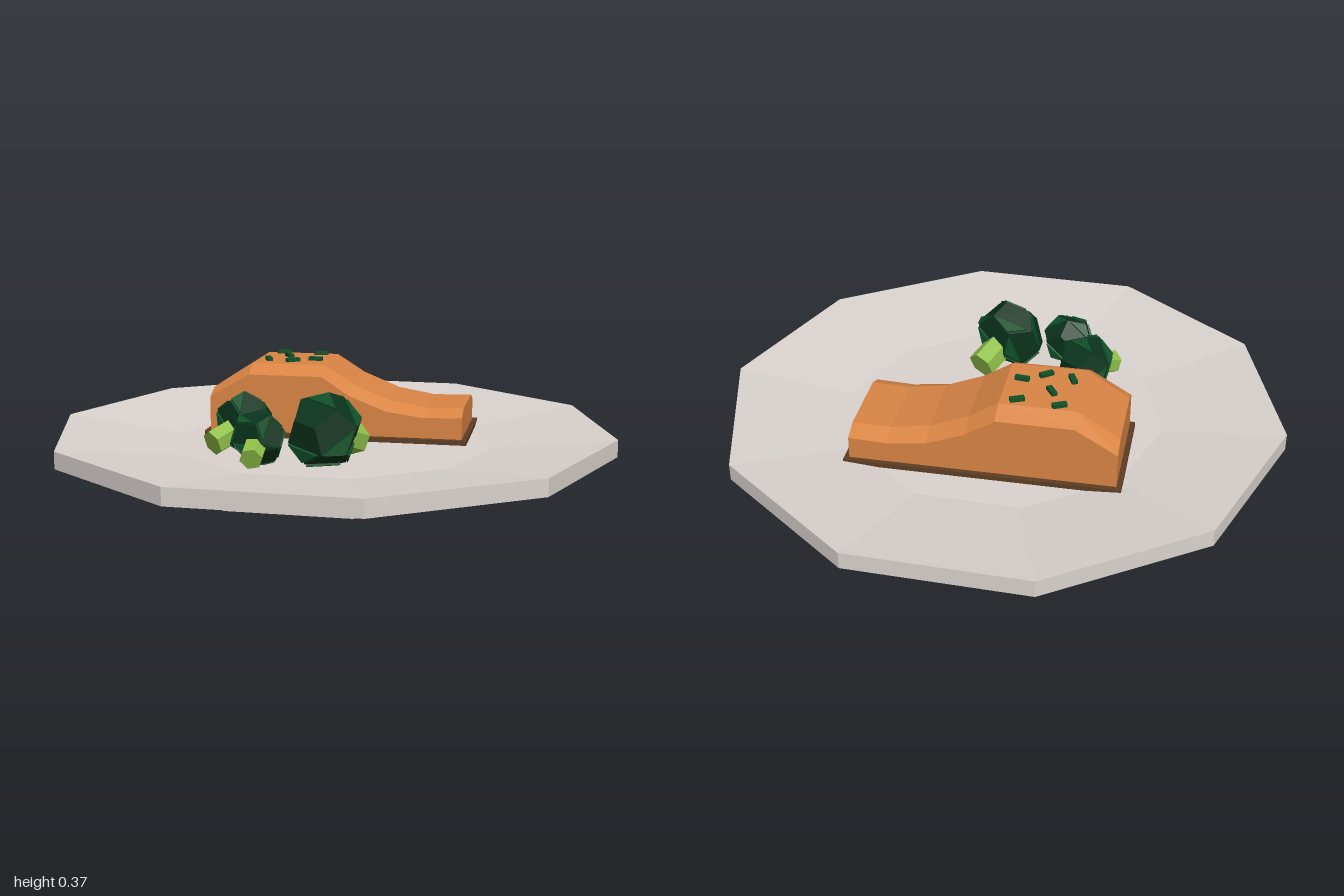
import * as THREE from 'three';

const mat = (name, color, flat = true) => {
  const m = new THREE.MeshStandardMaterial({ color, flatShading: flat });
  m.name = name;
  return m;
};

function fromTriangles(pos) {
  const g = new THREE.BufferGeometry();
  g.setAttribute('position', new THREE.Float32BufferAttribute(pos, 3));
  g.computeVertexNormals();
  return g;
}

function mesh(name, geometry, material, parent) {
  const m = new THREE.Mesh(geometry, material);
  m.name = name;
  parent.add(m);
  return m;
}

// Fillet: chamfered cross-sections lofted from the thick end to the thin end
function filletGeometry(halfWidth, chamfer, base, length) {
  // distance from thick end, height of side, height of top
  const stations = [
    [0, 0.24, 0.265], [0.145, 0.325, 0.358], [0.41, 0.325, 0.358], [0.51, 0.26, 0.295],
    [0.645, 0.208, 0.24], [0.78, 0.19, 0.217], [length, 0.195, 0.22],
  ];
  const w = halfWidth, n = w - chamfer;
  const rings = stations.map(([t, side, top]) =>
    [[-w, base], [-w, side], [-n, top], [n, top], [w, side], [w, base]]
      .map(([z, y]) => [t - length / 2, y, z]));
  const pos = [];
  const tri = (a, b, c) => pos.push(...a, ...b, ...c);
  for (let i = 0; i < rings.length - 1; i++) {
    for (let j = 0; j < 6; j++) {
      const k = (j + 1) % 6;
      const a = rings[i][j], b = rings[i][k], c = rings[i + 1][k], d = rings[i + 1][j];
      tri(a, b, c);
      tri(a, c, d);
    }
  }
  const first = rings[0], last = rings[rings.length - 1];
  for (let j = 1; j < 5; j++) {
    tri(first[0], first[j + 1], first[j]);
    tri(last[0], last[j], last[j + 1]);
  }
  return fromTriangles(pos);
}

// Raised pentagonal panels, one on each face of a unit dodecahedron
function panelGeometry(inset, lift) {
  const p = new THREE.DodecahedronGeometry(1).attributes.position;
  const pos = [];
  const tri = (a, b, c) => [a, b, c].forEach((v) => pos.push(v.x, v.y, v.z));
  for (let f = 0; f < 12; f++) {
    const corners = [0, 1, 2, 5, 8].map((i) => new THREE.Vector3().fromBufferAttribute(p, f * 9 + i));
    const centre = corners.reduce((s, v) => s.add(v), new THREE.Vector3()).multiplyScalar(0.2);
    const out = centre.clone().normalize().multiplyScalar(lift);
    const low = corners.map((v) => v.clone().lerp(centre, inset));
    const high = low.map((v) => v.clone().add(out));
    for (let j = 1; j < 4; j++) tri(high[0], high[j], high[j + 1]);
    for (let j = 0; j < 5; j++) {
      const k = (j + 1) % 5;
      tri(low[j], low[k], high[k]);
      tri(low[j], high[k], high[j]);
    }
  }
  return fromTriangles(pos);
}

export function createModel() {
  const root = new THREE.Group();
  root.name = 'plateOfFood';

  const ceramic = mat('ceramic', 0xd9d2ce);
  const orange = mat('orangeFlesh', 0xd98444);
  const brown = mat('brownSkin', 0x5e3d24);
  const green = mat('darkGreen', 0x0f5029);
  const deepGreen = mat('deepGreen', 0x0a331c);
  const lime = mat('stemGreen', 0x8fbf48);

  // Ten-sided plate with a foot and a shallow well
  const profile = [[0, 0], [0.68, 0], [0.68, 0.05], [1, 0.09], [1, 0.15], [0.57, 0.1], [0, 0.1]]
    .map(([x, y]) => new THREE.Vector2(x, y));
  mesh('plate', new THREE.LatheGeometry(profile, 10, Math.PI / 2), ceramic, root);

  // Fish fillet on its skin
  const fish = new THREE.Group();
  fish.name = 'fishFillet';
  fish.position.set(-0.125, 0, -0.165);
  fish.rotation.y = 0.658;
  root.add(fish);
  mesh('filletFlesh', filletGeometry(0.19, 0.06, 0.112, 0.915), orange, fish);
  mesh('filletSkin', new THREE.BoxGeometry(0.95, 0.017, 0.415), brown, fish).position.y = 0.1085;

  // Chopped herbs on top: x, z, turn
  const herbGeometry = new THREE.BoxGeometry(0.05, 0.016, 0.02);
  [[-0.27, -0.18, 1.05], [-0.39, -0.1, 1.1], [-0.31, -0.06, -0.35],
    [-0.185, -0.08, 0.55], [-0.22, 0, 1.3], [-0.303, 0.045, -0.5]].forEach(([x, z, turn]) => {
    const herb = mesh('herb', herbGeometry, green, root);
    herb.position.set(x, 0.363, z);
    herb.rotation.y = turn;
  });

  // Broccoli florets lying on their sides: head centre, radius, stem direction
  const core = new THREE.DodecahedronGeometry(1);
  const panels = panelGeometry(0.16, 0.06);
  const florets = [
    [[-0.065, 0.2, 0.34], 0.112, [0, -0.35, 1]],
    [[0.11, 0.19, 0.425], 0.098, [0.65, -0.35, 0.75]],
    [[0.255, 0.215, 0.26], 0.134, [-0.15, -0.35, -1]],
  ];
  florets.forEach(([at, r, dir], i) => {
    const floret = new THREE.Group();
    floret.name = 'broccoliFloret' + (i + 1);
    floret.position.set(...at);
    // local -y points along the stem
    floret.quaternion.setFromUnitVectors(
      new THREE.Vector3(0, -1, 0), new THREE.Vector3(...dir).normalize());
    root.add(floret);
    const head = new THREE.Group();
    head.name = 'floretHead';
    head.scale.set(r, r * 0.84, r);
    floret.add(head);
    mesh('headCore', core, deepGreen, head);
    mesh('headPanels', panels, green, head);
    const stem = mesh('floretStem', new THREE.CylinderGeometry(r * 0.4, r * 0.4, r, 6), lime, floret);
    stem.position.y = -r * 0.86;
  });

  return root;
}
